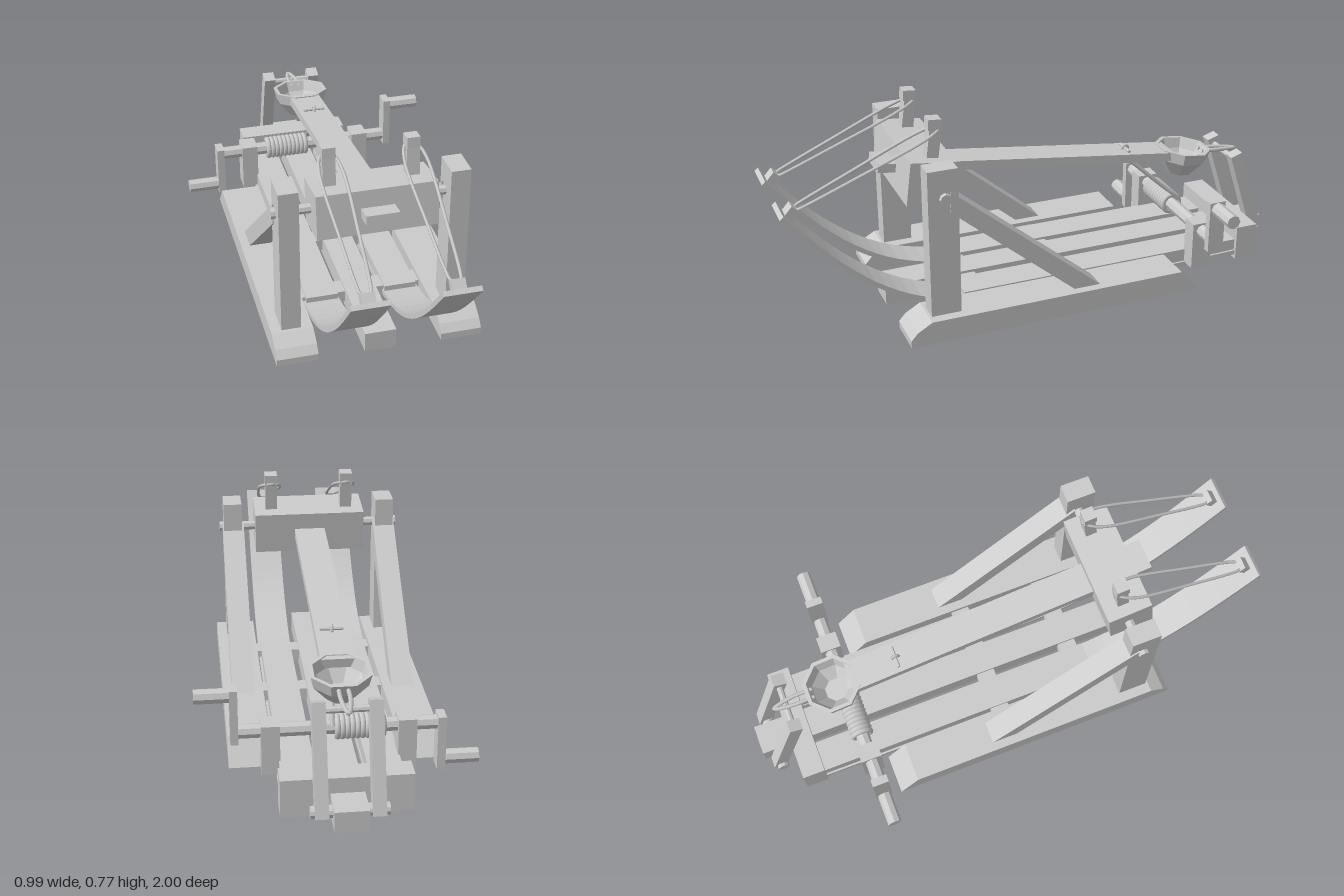
import * as THREE from 'three';

const V = (x, y, z) => new THREE.Vector3(x, y, z);

export function createModel() {
  const root = new THREE.Group();
  root.name = 'catapult';
  const flat = new THREE.MeshStandardMaterial({ color: 0xcccccc, flatShading: true });
  const smooth = new THREE.MeshStandardMaterial({ color: 0xcccccc });
  const open = new THREE.MeshStandardMaterial({ color: 0xcccccc, flatShading: true, side: THREE.DoubleSide });

  const add = (name, geo, mat = flat, parent = root) => {
    const m = new THREE.Mesh(geo, mat);
    m.name = name;
    parent.add(m);
    return m;
  };
  // box given by its limits on each axis
  const box = (name, x0, x1, y0, y1, z0, z1) => {
    const m = add(name, new THREE.BoxGeometry(x1 - x0, y1 - y0, z1 - z0));
    m.position.set((x0 + x1) / 2, (y0 + y1) / 2, (z0 + z1) / 2);
    return m;
  };
  // rod lying along x
  const rod = (name, x0, x1, y, z, r, sides = 8) => {
    const m = add(name, new THREE.CylinderGeometry(r, r, x1 - x0, sides).rotateZ(Math.PI / 2));
    m.position.set((x0 + x1) / 2, y, z);
    return m;
  };
  // side outline of [z, y] points extruded between x0 and x1
  const slab = (name, pts, x0, x1) => {
    const shape = new THREE.Shape(pts.map(([z, y]) => new THREE.Vector2(-z, y)));
    const geo = new THREE.ExtrudeGeometry(shape, { depth: x1 - x0, bevelEnabled: false });
    geo.rotateY(Math.PI / 2).translate(x0, 0, 0);
    return add(name, geo);
  };
  const rope = (name, pts, r, closed = false) =>
    add(name, new THREE.TubeGeometry(new THREE.CatmullRomCurve3(pts, closed), 48, r, 6, closed), smooth);
  // call with limits mirrored to either side
  const span = (s, a, b) => (s > 0 ? [a, b] : [-b, -a]);

  // leaf spring outline: offset a smooth centre line to both sides
  const leafCurve = new THREE.CatmullRomCurve3([
    [0.99, 0.512], [0.89, 0.395], [0.78, 0.28], [0.65, 0.175], [0.51, 0.1],
    [0.32, 0.05], [0, 0.026], [-0.45, 0.022], [-0.8, 0.03]
  ].map(([z, y]) => V(0, y, z)));
  const upper = [], lower = [];
  for (let i = 0; i <= 26; i++) {
    const p = leafCurve.getPoint(i / 26), t = leafCurve.getTangent(i / 26);
    upper.push([p.z + t.y * 0.009, p.y - t.z * 0.009]);
    lower.push([p.z - t.y * 0.009, p.y + t.z * 0.009]);
  }
  const leafOutline = upper.concat(lower.reverse());

  for (const s of [1, -1]) {
    // skids, uprights and braces
    slab('skid', [[0.6, 0.003], [0.6, 0.03], [0.575, 0.058], [0.52, 0.09], [-0.47, 0.09], [-0.545, 0.003]], ...span(s, 0.228, 0.38));
    box('upright', ...span(s, 0.27, 0.342), 0.08, 0.655, 0.398, 0.51);
    slab('brace', [[0.43, 0.572], [0.43, 0.492], [-0.045, 0.088], [-0.147, 0.088]], ...span(s, 0.262, 0.347));
    rod('axleCap', ...span(s, 0.34, 0.358), 0.548, 0.448, 0.021);

    // inner frame and bent springs
    box('innerRail', ...span(s, 0.09, 0.21), 0.03, 0.084, -0.84, 0.34);
    slab('leafSpring', leafOutline, ...span(s, 0.086, 0.218));

    // peg on the beam, spring cleat and the rope loop between them
    const peg = box('peg', s * 0.15 - 0.023, s * 0.15 + 0.023, 0.6, 0.735, 0.408, 0.452);
    peg.rotation.x = -0.13;
    const cap = box('pegCap', s * 0.15 - 0.024, s * 0.15 + 0.024, 0.732, 0.772, 0.4, 0.448);
    cap.rotation.x = -0.08;
    const cleat = box('springCleat', s * 0.15 - 0.024, s * 0.15 + 0.024, 0.488, 0.52, 0.925, 0.968);
    cleat.rotation.x = 0.85;
    const half = [[0.027, 0.02], [0.04, 0.12], [0.042, 0.25], [0.034, 0.55], [0.024, 0.9], [0.018, 0.98]];
    const loop = [...half, [0, 1.02], ...half.slice().reverse().map(([x, t]) => [-x, t]), [0, -0.03]];
    rope('springRope', loop.map(([x, t]) => V(s * 0.15 + x, 0.73 - 0.222 * t, 0.41 + 0.525 * t)), 0.006, true);

    // winch supports
    box('winchSupport', ...span(s, 0.205, 0.27), 0.03, 0.218, -0.652, -0.572);

    // leaning trigger posts
    const post = box('triggerPost', ...span(s, 0.072, 0.118), 0.035, 0.42, -0.91, -0.86);
    post.position.set(s * 0.095, 0.222, -0.894);
    post.rotation.x = 0.315;
    rod('triggerPivot', ...span(s, 0.05, 0.132), 0.055, -0.942, 0.022, 10);
  }
  rod('triggerBar', -0.08, 0.08, 0.375, -0.842, 0.012);

  // base beams
  box('centreBeam', -0.058, 0.058, 0.008, 0.085, -1, 0.6);
  for (const z of [-0.065, 0.285]) box('crossPiece', -0.232, 0.232, 0.03, 0.075, z - 0.036, z + 0.036);
  box('rearCrossBeam', -0.225, 0.225, 0.003, 0.142, -0.882, -0.795);
  rod('axle', -0.35, 0.35, 0.548, 0.448, 0.018);

  // pivot beam with the throwing arm through it
  const tilt = -0.127;
  const beam = box('pivotBeam', -0.217, 0.217, 0.466, 0.63, 0.37, 0.54);
  beam.position.set(0, 0.548, 0.455);
  beam.rotation.x = tilt;
  const arm = box('throwingArm', -0.06, 0.06, 0, 0.034, -0.59, 0.61);
  arm.position.set(0, 0.491, 0.01);
  arm.rotation.x = tilt;

  // eight-sided bowl
  const bowlPts = [[0, -0.107], [0.05, -0.107], [0.102, -0.045], [0.113, 0], [0.098, 0], [0.085, -0.04], [0.045, -0.085], [0, -0.085]];
  const bowl = add('bowl', new THREE.LatheGeometry(bowlPts.map(([x, y]) => new THREE.Vector2(x, y)), 8, Math.PI / 8), open);
  bowl.position.set(0, 0.427, -0.655);
  bowl.rotation.x = tilt;

  // hook behind the bowl
  rope('armHook', [V(0.016, 0.4, -0.73), V(0.015, 0.392, -0.82), V(0, 0.383, -0.888), V(-0.015, 0.392, -0.82), V(-0.016, 0.4, -0.73)], 0.008);

  // winch shaft and two opposite cranks
  const wy = 0.186, wz = -0.612;
  rod('winchShaft', -0.36, 0.36, wy, wz, 0.026);
  box('crankArm', 0.347, 0.375, 0.15, 0.355, wz - 0.032, wz + 0.032);
  box('crankArm', -0.375, -0.345, 0.012, 0.216, wz - 0.032, wz + 0.032);
  rod('crankHandle', 0.37, 0.495, 0.327, wz, 0.027);
  rod('crankHandle', -0.497, -0.37, 0.045, wz, 0.027);

  // rope wound on the shaft and led up to the arm
  for (let i = 0; i < 10; i++) {
    const coil = add('ropeCoil', new THREE.TorusGeometry(0.035, 0.011, 8, 20).rotateY(Math.PI / 2), smooth);
    coil.position.set(-0.153 + i * 0.0175, wy, wz);
  }
  rope('winchRope', [V(0.022, 0.2, -0.635), V(0.022, 0.232, -0.613), V(0.018, 0.27, -0.57), V(0.006, 0.43, -0.395)], 0.009);

  // rope knot on top of the arm
  rod('knotPin', -0.042, 0.042, 0.461, -0.4, 0.006, 6);
  const knot = add('knot', new THREE.TorusGeometry(0.013, 0.006, 6, 10).rotateY(Math.PI / 2), smooth);
  knot.position.set(0, 0.459, -0.4);

  return root;
}
